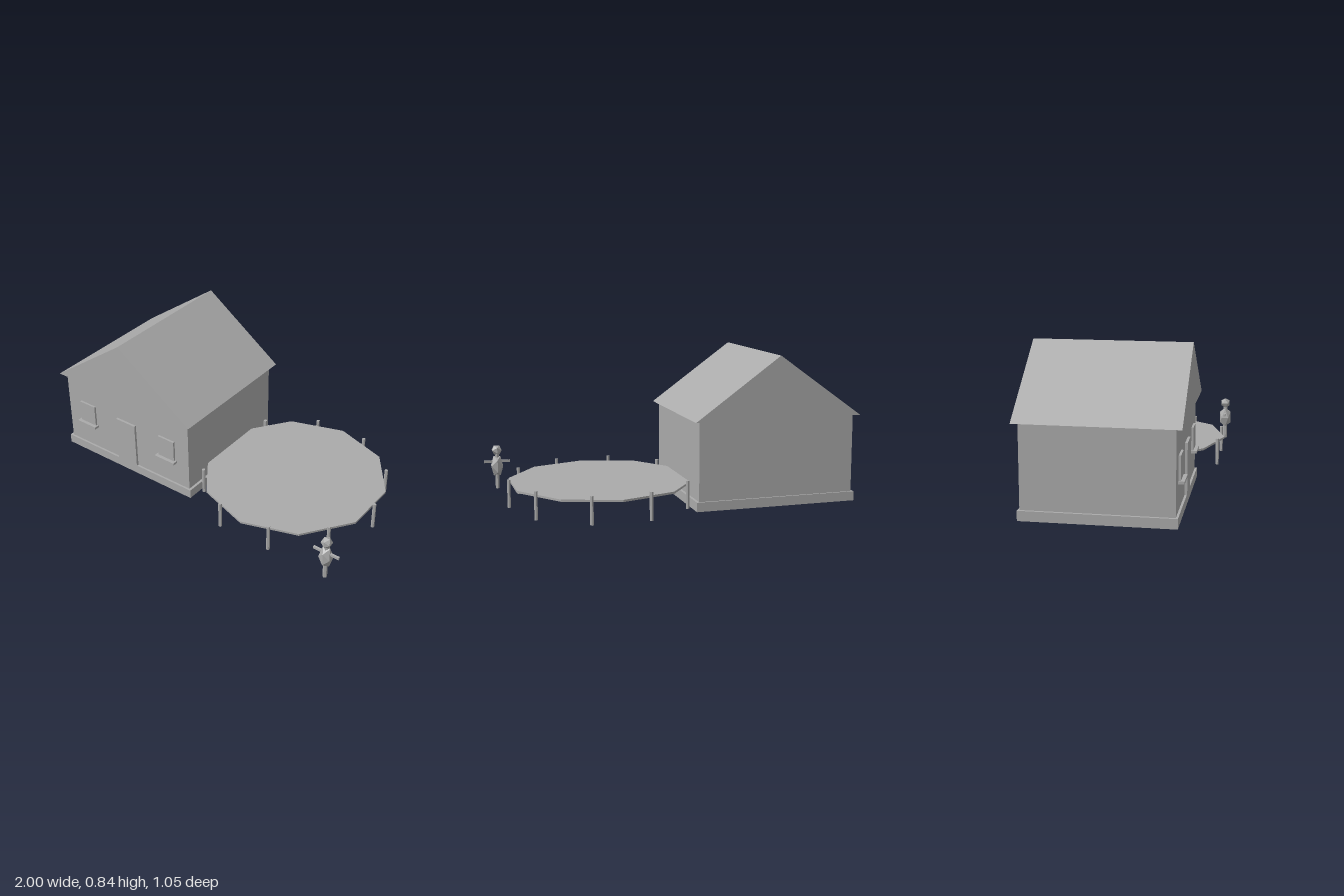
import * as THREE from 'three';

const clay = new THREE.MeshStandardMaterial({ color: 0xaaaaaa, flatShading: true });
clay.name = 'plainGrey';

function add(parent, name, geometry, x, y, z) {
  const mesh = new THREE.Mesh(geometry, clay);
  mesh.name = name;
  mesh.position.set(x, y, z);
  parent.add(mesh);
  return mesh;
}

// Box given by its extents
function box(parent, name, x0, x1, y0, y1, z0, z1) {
  return add(parent, name, new THREE.BoxGeometry(x1 - x0, y1 - y0, z1 - z0),
    (x0 + x1) / 2, (y0 + y1) / 2, (z0 + z1) / 2);
}

function makeHouse() {
  const house = new THREE.Group();
  house.name = 'house';
  box(house, 'foundation', -0.985, -0.045, 0, 0.053, -0.4, 0.402);
  box(house, 'walls', -0.97, -0.06, 0.053, 0.498, -0.39, 0.39);

  // Solid gable roof
  const gable = new THREE.Shape();
  gable.moveTo(-0.485, 0);
  gable.lineTo(0.485, 0);
  gable.lineTo(0, 0.348);
  gable.closePath();
  const roof = new THREE.ExtrudeGeometry(gable, { depth: 0.842, bevelEnabled: false });
  add(house, 'roof', roof, -0.515, 0.497, -0.421);

  box(house, 'door', -0.585, -0.445, 0.053, 0.332, 0.385, 0.404);
  for (const x of [-0.815, -0.215]) {
    box(house, 'window', x - 0.057, x + 0.057, 0.212, 0.34, 0.385, 0.402);
    box(house, 'windowSill', x - 0.069, x + 0.069, 0.198, 0.212, 0.385, 0.422);
  }
  return house;
}

function makePlatform() {
  const platform = new THREE.Group();
  platform.name = 'platform';
  platform.position.x = 0.4;
  add(platform, 'deck', new THREE.CylinderGeometry(0.525, 0.525, 0.012, 10), 0, 0.125, 0);

  // Ring of posts at the middle of each deck edge
  const postGeometry = new THREE.CylinderGeometry(0.01, 0.01, 0.157, 6);
  for (let i = 0; i < 10; i++) {
    const a = (i / 10) * Math.PI * 2;
    add(platform, 'post', postGeometry, Math.cos(a) * 0.52, 0.0785, Math.sin(a) * 0.52);
  }
  return platform;
}

function makeScarecrow() {
  const scarecrow = new THREE.Group();
  scarecrow.name = 'scarecrow';
  scarecrow.position.set(0.92, 0, 0.493);
  add(scarecrow, 'pole', new THREE.CylinderGeometry(0.0125, 0.0125, 0.22, 6), 0, 0.11, 0);
  box(scarecrow, 'arms', -0.077, 0.077, 0.157, 0.17, -0.0065, 0.0065);
  const body = add(scarecrow, 'body', new THREE.IcosahedronGeometry(0.04, 0), 0, 0.137, 0);
  body.scale.y = 1.72;
  add(scarecrow, 'head', new THREE.IcosahedronGeometry(0.032, 0), 0, 0.232, 0);
  return scarecrow;
}

export function createModel() {
  const model = new THREE.Group();
  model.name = 'farmyard';
  model.add(makeHouse(), makePlatform(), makeScarecrow());
  return model;
}
